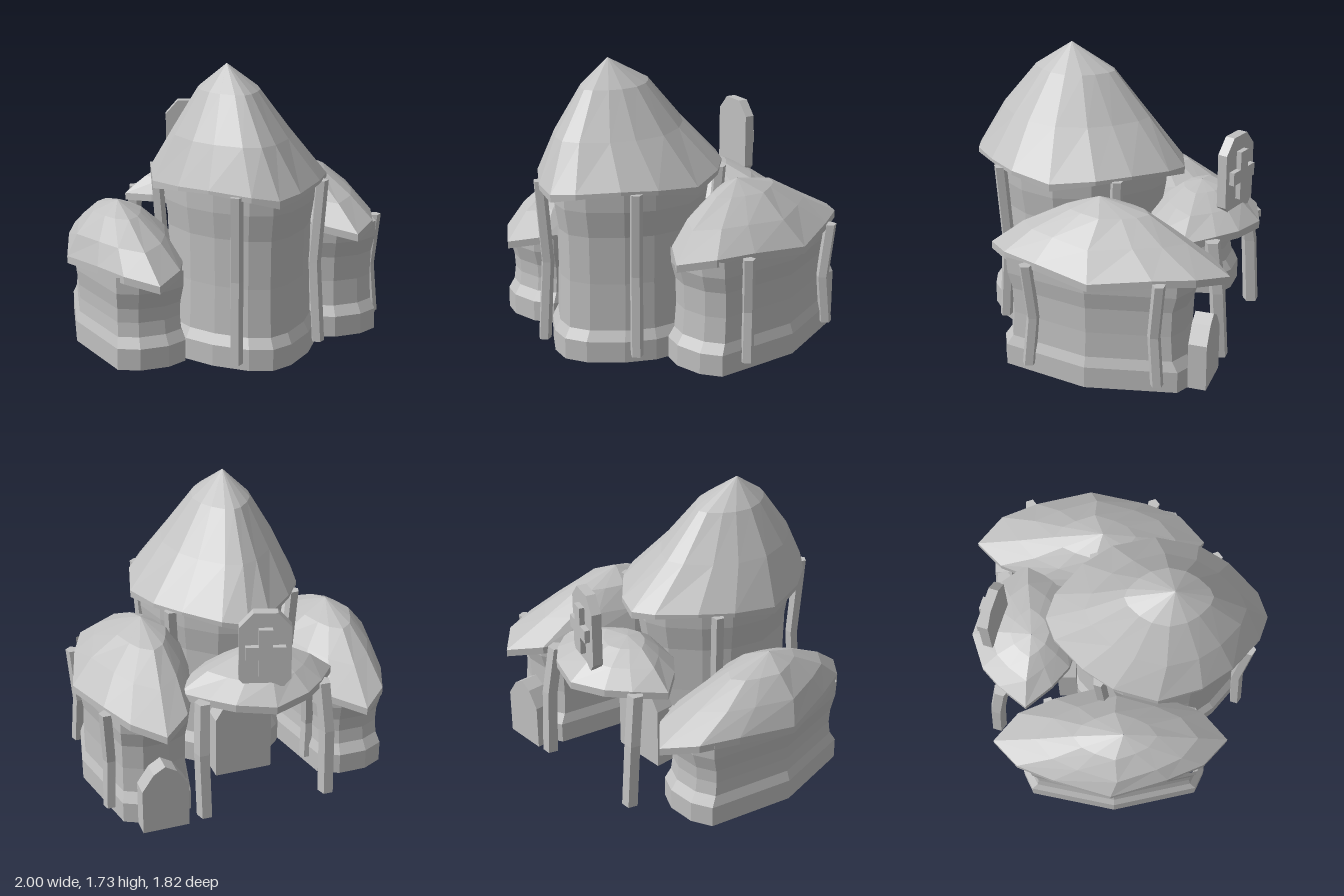
import * as THREE from 'three';

// Walls and roofs are open shells, so both sides show
const stone = new THREE.MeshStandardMaterial({ color: 0xc0c0c0, flatShading: true, side: THREE.DoubleSide });
stone.name = 'pale grey';

// Mirror a quarter outline (front tip to side tip) into a closed unit outline
function outline(quarter) {
  const back = quarter.map(([x, z]) => [x, -z]).reverse();
  const half = [...quarter, ...back];
  const all = [...half, ...half.map(([x, z]) => [-x, z]).reverse()];
  return all.filter(([x, z], i) => {
    const [px, pz] = all[(i + all.length - 1) % all.length];
    return Math.hypot(x - px, z - pz) > 0.001;
  });
}

const ROUND = outline([[0, 1], [0.28, 0.92], [0.64, 0.665], [0.87, 0.395], [1, 0]]);
const LENS = outline([[0, 1], [0.47, 0.79], [0.73, 0.48], [1, 0]]);
const BLUNT = outline([[0.27, 1], [0.65, 0.9], [1, 0]]);
const PENTA = [0, 1, 2, 3, 4].map(i => [Math.sin(i * Math.PI * 0.4), Math.cos(i * Math.PI * 0.4)]);

// Skin rings [y, centreX, centreZ, radiusX, radiusZ, wave]; wave lifts the diagonals
function loft(name, shape, rings, capped = false) {
  const pos = [];
  const rows = rings.map(([y, cx, cz, rx, rz, wave = 0]) => shape.map(([x, z]) =>
    [cx + x * rx, y + wave * Math.abs(Math.sin(2 * Math.atan2(x, z))), cz + z * rz]));
  const mid = ([y, cx, cz]) => [cx, y, cz];
  const n = shape.length, last = rows.length - 1;
  for (let i = 0; i < n; i++) {
    const j = (i + 1) % n;
    for (let r = 0; r < last; r++) {
      const a = rows[r], b = rows[r + 1];
      pos.push(...a[i], ...a[j], ...b[j], ...a[i], ...b[j], ...b[i]);
    }
    if (capped) {
      pos.push(...rows[0][j], ...rows[0][i], ...mid(rings[0]));
      pos.push(...rows[last][i], ...rows[last][j], ...mid(rings[last]));
    }
  }
  const geo = new THREE.BufferGeometry();
  geo.setAttribute('position', new THREE.Float32BufferAttribute(pos, 3));
  geo.computeVertexNormals();
  const mesh = new THREE.Mesh(geo, stone);
  mesh.name = name;
  return mesh;
}

// Wall with a heavy plinth, a slim waist and a wider band under the roof
function wall(name, shape, cx, cz, rx, rz, bandLow, bandHigh, top) {
  const ring = (y, s) => [y, cx, cz, rx * s, rz * s];
  return loft(name, shape, [ring(0, 1), ring(0.13, 1), ring(0.19, 0.93),
    ring((bandLow + 0.19) / 2, 0.91), ring(bandLow, 0.92), ring(bandHigh, 0.97), ring(top, 0.98)]);
}

// Bent five-sided post running through points
function post(name, points, r = 0.04) {
  return loft(name, PENTA, points.map(([x, y, z]) => [y, x, z, r, r]), true);
}

// Post against a wall, bowing toward the wall centre
function wallPost(name, x, z, top, cx, cz) {
  const d = Math.hypot(x - cx, z - cz);
  const bx = (x - cx) / d * 0.03, bz = (z - cz) / d * 0.03;
  return post(name, [[x, 0.06, z], [x - bx, top * 0.52, z - bz], [x + bx * 0.3, top, z + bz * 0.3]]);
}

// Upright slab from a front profile
function slab(name, points, depth) {
  const shape = new THREE.Shape(points.map(p => new THREE.Vector2(...p)));
  const geo = new THREE.ExtrudeGeometry(shape, { depth, bevelEnabled: false });
  geo.translate(0, 0, -depth / 2);
  const mesh = new THREE.Mesh(geo, stone);
  mesh.name = name;
  return mesh;
}

function door(name, w, h, x, z, depth) {
  const mesh = slab(name, [[-w, 0], [w, 0], [w, h * 0.66], [w * 0.5, h * 0.9], [0, h],
    [-w * 0.5, h * 0.9], [-w, h * 0.66]], depth);
  mesh.position.set(x, 0, z);
  return mesh;
}

// Long side hut with an off-centre roof peak at (ax, az)
function sideHut(name, cx, cz, wallZ, ax, az, eave) {
  const hut = new THREE.Group();
  hut.name = name;
  const mx = (cx + ax) / 2, mz = (cz + az) / 2;
  hut.add(
    wall('sideWall', BLUNT, cx, wallZ, 0.32, 0.585, eave - 0.14, eave - 0.04, eave + 0.06),
    loft('sideRoof', LENS, [
      [eave, cx, cz, 0.36, 0.73, 0.035],
      [eave + 0.045, cx, cz, 0.36, 0.73, 0.035],
      [eave + 0.19, mx, mz, 0.275, 0.5, 0.015],
      [eave + 0.32, ax + 0.01, az - 0.05, 0.15, 0.255],
      [eave + 0.39, ax, az, 0.002, 0.002],
    ]));
  return hut;
}

export function createModel() {
  const model = new THREE.Group();
  model.name = 'hutCluster';

  // Tall central hut
  const tower = new THREE.Group();
  tower.name = 'mainHut';
  tower.add(
    wall('mainWall', ROUND, -0.005, 0.24, 0.475, 0.58, 0.77, 0.93, 1.08),
    loft('mainRoof', ROUND, [
      [1.0, -0.01, 0.235, 0.53, 0.672, 0.06],
      [1.045, -0.01, 0.235, 0.53, 0.672, 0.035],
      [1.32, -0.06, 0.28, 0.355, 0.475],
      [1.58, -0.085, 0.29, 0.18, 0.255],
      [1.73, -0.11, 0.32, 0.002, 0.002],
    ]),
    door('mainDoor', 0.18, 0.6, 0, -0.33, 0.12));
  for (const [x, z] of [[-0.22, 0.78], [0.37, 0.6], [0.37, -0.13], [-0.41, -0.11]])
    tower.add(wallPost('mainPost', x, z, 1.06, 0, 0.24));
  model.add(tower);

  // Low hut on the right side, taller hut on the left side
  const low = sideHut('rightHut', -0.64, -0.05, -0.03, -0.7, 0.03, 0.5);
  low.add(wallPost('sidePost', -0.4, -0.43, 0.55, -0.64, -0.05));
  const high = sideHut('leftHut', 0.64, -0.17, -0.135, 0.55, -0.09, 0.64);
  high.add(
    wallPost('sidePost', 0.9, 0.23, 0.7, 0.64, -0.15),
    wallPost('sidePost', 0.9, -0.555, 0.7, 0.64, -0.15),
    door('sideDoor', 0.14, 0.43, 0.63, -0.755, 0.11));
  model.add(low, high);

  // Back porch with open roof and two splayed posts
  const porch = new THREE.Group();
  porch.name = 'porch';
  porch.add(loft('porchRoof', LENS, [
    [0.71, -0.01, -0.57, 0.475, 0.34, 0.02],
    [0.755, -0.01, -0.57, 0.475, 0.34, 0.02],
    [0.86, -0.03, -0.56, 0.32, 0.23],
    [0.925, -0.06, -0.54, 0.16, 0.12],
    [0.95, -0.08, -0.53, 0.002, 0.002],
  ]));
  for (const s of [-1, 1])
    porch.add(post('porchPost', [[s * 0.385, 0.03, -0.79], [s * 0.39, 0.45, -0.765], [s * 0.37, 0.76, -0.72]], 0.05));
  model.add(porch);

  // Standing sign with a raised cross
  const sign = new THREE.Group();
  sign.name = 'sign';
  sign.add(slab('signBoard', [[-0.11, 0.83], [0.11, 0.83], [0.15, 0.88], [0.15, 1.21],
    [0.07, 1.3], [-0.07, 1.3], [-0.15, 1.21], [-0.15, 0.88]], 0.06));
  const a = 0.04, w = 0.115, h = 0.15, y = 1.06;
  const cross = slab('cross', [[-a, y - h], [a, y - h], [a, y - a], [w, y - a], [w, y + a], [a, y + a],
    [a, y + h], [-a, y + h], [-a, y + a], [-w, y + a], [-w, y - a], [-a, y - a]], 0.035);
  cross.position.z = -0.045;
  sign.add(cross);
  sign.position.set(0.01, 0, -0.755);
  sign.rotation.y = -0.3;
  model.add(sign);

  return model;
}
